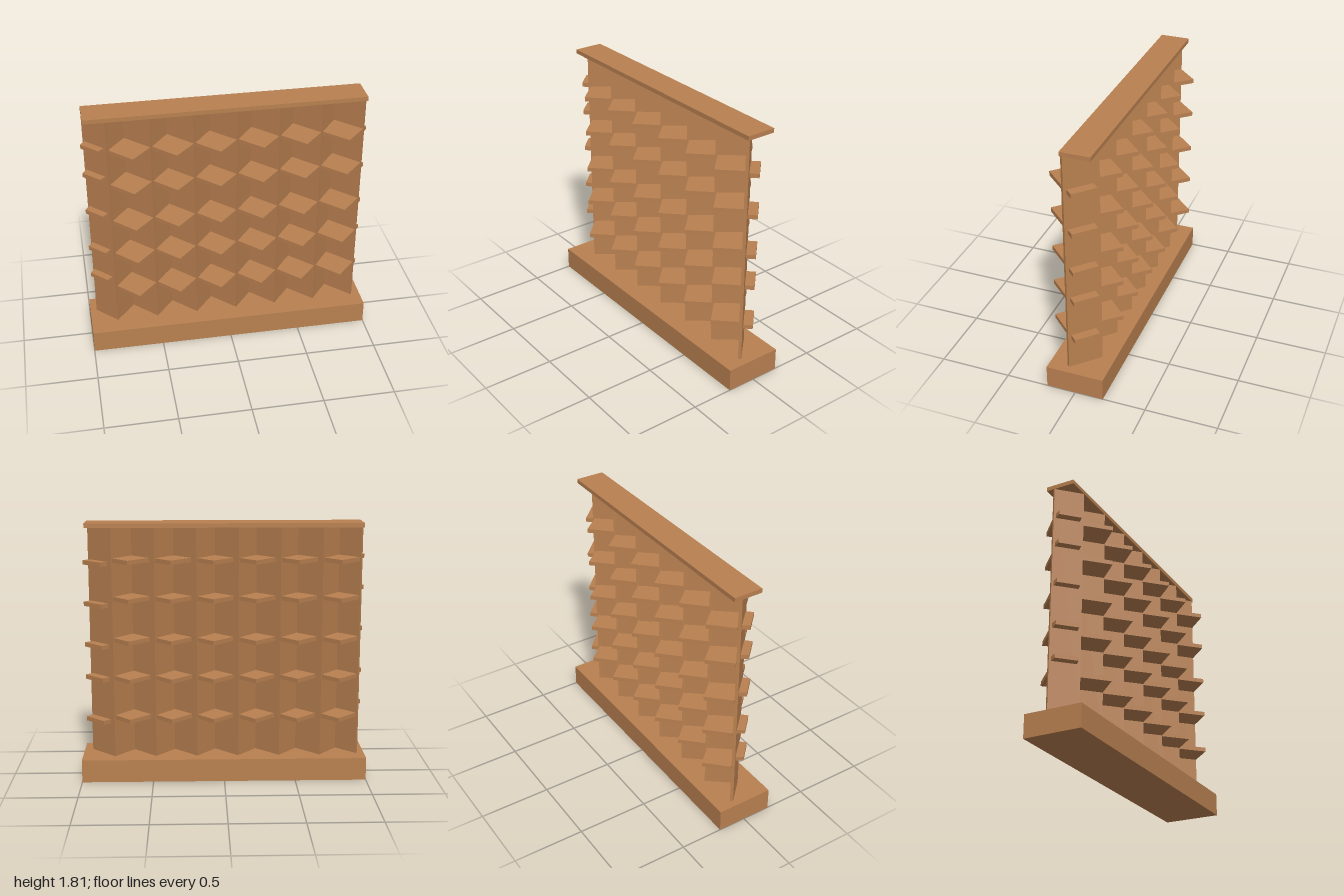
import * as THREE from 'three';

export function createModel() {
  const group = new THREE.Group();
  const wood = new THREE.MeshStandardMaterial({ color: 0xb98050 });
  wood.name = 'brown wood';

  // Upright prism from a floor plan of [x, z] corners
  function prism(name, plan, y0, y1) {
    const shape = new THREE.Shape(plan.map(([x, z]) => new THREE.Vector2(x, -z)));
    const geo = new THREE.ExtrudeGeometry(shape, { depth: y1 - y0, bevelEnabled: false });
    geo.rotateX(-Math.PI / 2);
    geo.translate(0, y0, 0);
    const mesh = new THREE.Mesh(geo, wood);
    mesh.name = name;
    group.add(mesh);
  }
  const slab = (name, x0, x1, z0, z1, y0, y1) =>
    prism(name, [[x0, z0], [x1, z0], [x1, z1], [x0, z1]], y0, y1);

  const pitch = 0.29, folds = 6;
  const bottom = 0.16, top = 1.78, thick = 0.03;

  // Base and cap boards
  slab('base', -1, 1, -0.2, 0.205, 0, bottom);
  slab('cap', -0.955, 0.95, -0.125, 0.08, top, 1.81);

  // Zigzag wall: long panels rise towards the front, short ones return to the back
  for (let k = 0; k <= folds; k++) {
    const r = -0.81 + pitch * k; // front ridge
    const [sx, sz] = k === 0 ? [-0.955, -0.065] : [r - 0.173, -0.093];
    prism('longPanel', [[sx, sz], [r, 0.08], [r + 0.013, 0.063], [sx + 0.013, sz - 0.017]], bottom, top);
    if (k < folds) {
      prism('shortPanel', [[r + 0.013, 0.063], [r + 0.13, -0.08], [r + 0.117, -0.093], [r, 0.05]], bottom, top);
    }
  }

  // Diamond shelves in every fold, front and back
  for (const y of [1.555, 1.29, 1.0, 0.73, 0.445]) {
    for (let k = 0; k < folds; k++) {
      const r = -0.81 + pitch * k;
      prism('frontShelf', [[r + 0.012, 0.07], [r + 0.158, 0.217], [r + 0.293, 0.075], [r + 0.13, -0.085]],
        y - thick / 2, y + thick / 2);
      prism('backShelf', [[r + 0.006, 0.055], [r + 0.13, -0.093], [r + 0.015, -0.22], [r - 0.125, -0.08]],
        y - thick / 2, y + thick / 2);
    }
  }

  // Narrow shelves on the two end panels
  for (const y of [1.53, 1.24, 0.95, 0.717, 0.41]) {
    prism('leftEndShelf', [[0.93, 0.045], [0.975, 0], [0.845, -0.125], [0.8, -0.08]],
      y - thick / 2, y + thick / 2);
  }
  for (const y of [1.57, 1.352, 1.06, 0.757, 0.525]) {
    prism('rightEndShelf', [[-0.945, -0.055], [-0.975, -0.01], [-0.865, 0.098], [-0.825, 0.06]],
      y - thick / 2, y + thick / 2);
  }
  return group;
}
